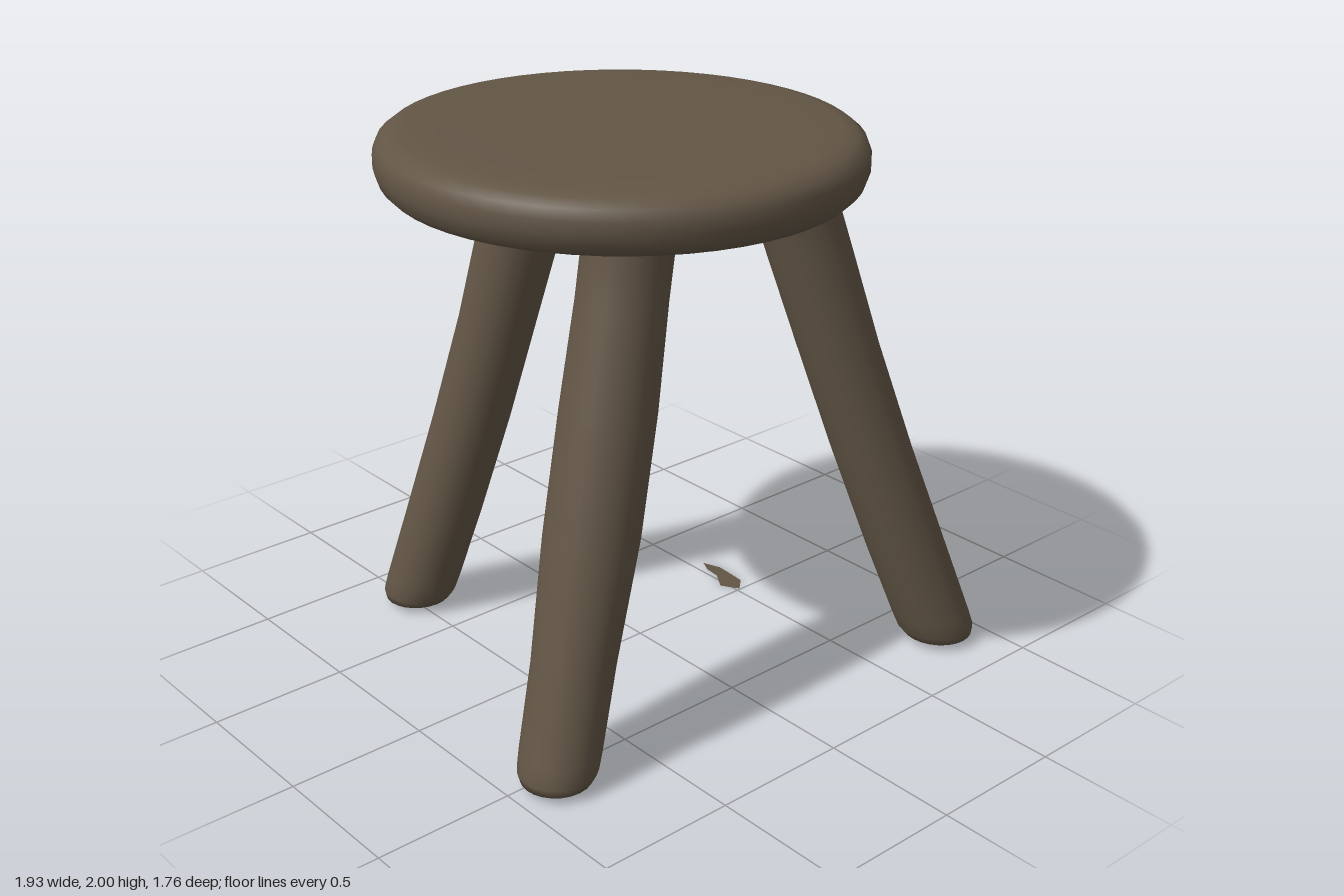
import * as THREE from 'three';
import { mergeVertices } from 'three/addons/utils/BufferGeometryUtils.js';

const wood = new THREE.MeshStandardMaterial({ color: 0x625545, side: THREE.DoubleSide });
wood.name = 'dark wood';

// Smooth lathe from [radius, y] pairs, with an optional rule that moves each vertex
function turned(points, segments, move) {
  const profile = points.map(([r, y]) => new THREE.Vector2(r, y));
  let geo = new THREE.LatheGeometry(profile, segments);
  geo.deleteAttribute('uv');
  geo.deleteAttribute('normal');
  const p = geo.attributes.position;
  const v = new THREE.Vector3();
  for (let i = 0; i < p.count; i++) {
    v.fromBufferAttribute(p, i);
    move(v);
    p.setXYZ(i, v.x, v.y, v.z);
  }
  geo = mergeVertices(geo, 1e-4);
  geo.computeVertexNormals();
  return geo;
}

function add(group, name, geo) {
  const mesh = new THREE.Mesh(geo, wood);
  mesh.name = name;
  group.add(mesh);
}

// Splayed leg: horizontal rings whose centres run from the foot to the seat
function legGeometry(foot, top, mid, footR) {
  const profile = [
    [0, 0.02], [footR * 0.6, 0.02], [footR * 0.88, 0.03], [footR * 0.98, 0.06], [footR, 0.12],
    [footR + 0.003, 0.4], [mid, 0.8], [mid, 1.2], [0.15, 1.55], [0.15, 1.72], [0.17, 1.8], [0.18, 1.86],
  ];
  return turned(profile, 24, (v) => {
    const t = (v.y - 0.05) / 1.75;
    const bow = -0.02 * Math.sin(Math.PI * Math.min(Math.max(t, 0), 1));
    const dx = foot[0] - top[0], dz = foot[1] - top[1], len = Math.hypot(dx, dz);
    v.x += foot[0] - dx * t + (bow * dx) / len;
    v.z += foot[1] - dz * t + (bow * dz) / len;
  });
}

export function createModel() {
  const stool = new THREE.Group();
  stool.name = 'stool';

  // Round seat with softened rims
  const seatProfile = [
    [0, 1.805], [0.6, 1.803], [0.73, 1.802], [0.77, 1.81], [0.795, 1.835], [0.81, 1.88],
    [0.81, 1.925], [0.796, 1.96], [0.765, 1.984], [0.72, 1.995], [0.6, 1.999], [0, 2.0],
  ];
  add(stool, 'seat', turned(seatProfile, 56, (v) => {
    v.x -= 0.13;
    v.z = v.z * 1.018 + 0.057;
  }));

  // Three legs
  add(stool, 'frontLeftLeg', legGeometry([0.825, 0.725], [0.325, 0.375], 0.145, 0.143));
  add(stool, 'frontRightLeg', legGeometry([-0.832, 0.55], [-0.355, 0.37], 0.16, 0.138));
  add(stool, 'backLeg', legGeometry([-0.475, -0.75], [-0.17, -0.35], 0.142, 0.138));

  // Loose flat chip lying on the ground
  const outline = [
    [0.475, -0.07], [0.515, -0.005], [0.565, -0.05], [0.57, -0.11],
    [0.575, -0.18], [0.55, -0.25], [0.525, -0.2], [0.52, -0.14],
  ].map(([x, z]) => new THREE.Vector2(x, -z));
  const chip = new THREE.ShapeGeometry(new THREE.Shape(outline));
  chip.rotateX(-Math.PI / 2);
  chip.translate(0, 0.002, 0);
  add(stool, 'woodChip', chip);

  return stool;
}
